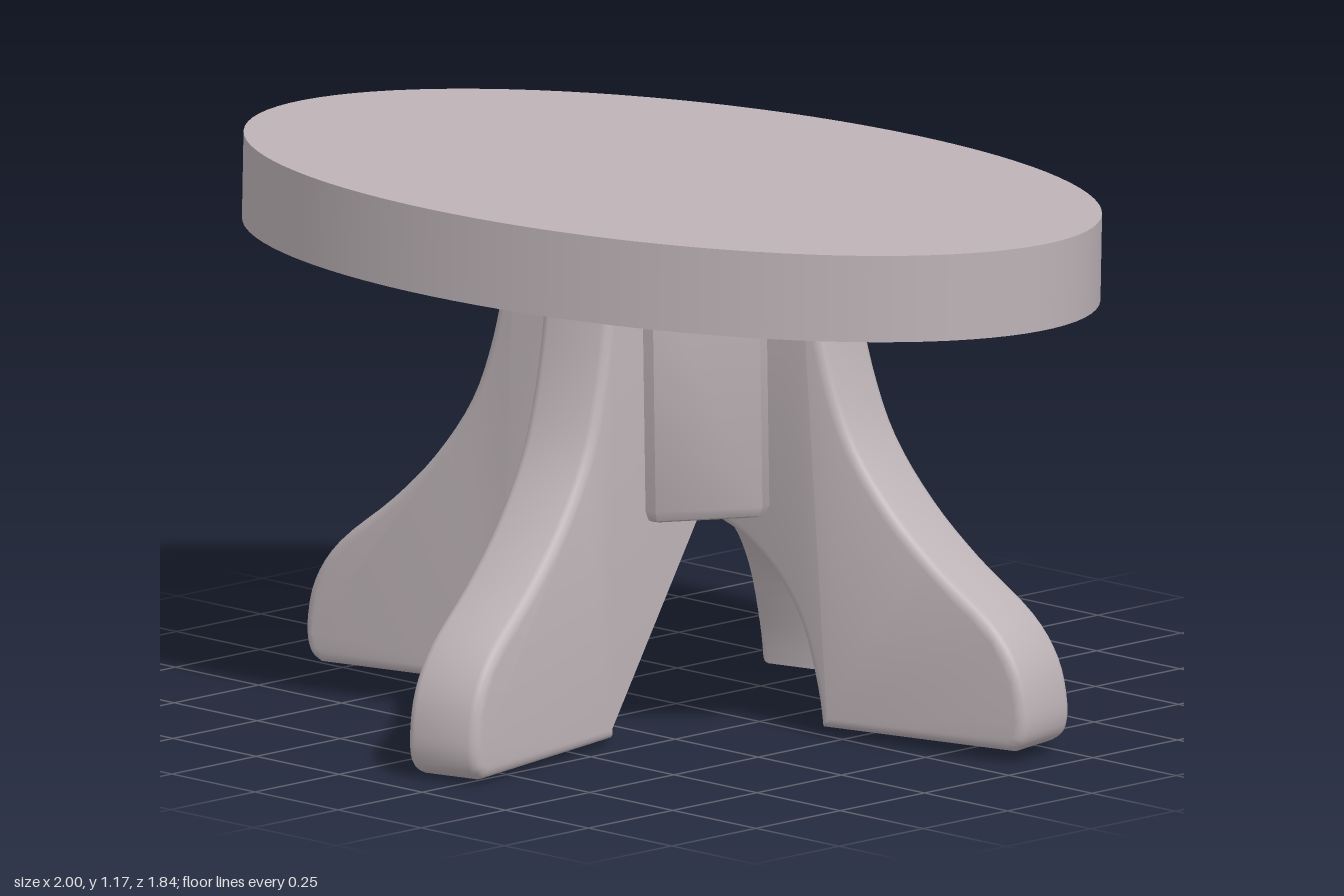
import * as THREE from 'three';
import { toCreasedNormals } from 'three/addons/utils/BufferGeometryUtils.js';

const YAW = 0.192;
const LEG_WIDTH = 0.178;
const BEVEL = 0.022;

const spline = (pts, n) =>
  new THREE.SplineCurve(pts.map(([x, y]) => new THREE.Vector2(x, y))).getPoints(n);

// Two opposite legs joined by an arch, as one bevelled board
function trestleGeometry() {
  const outer = spline([[0.388, 1.0], [0.398, 0.93], [0.435, 0.77], [0.49, 0.63], [0.585, 0.5], [0.7, 0.39],
    [0.835, 0.285], [0.9, 0.195], [0.922, 0.1], [0.914, 0.04], [0.885, 0.016]], 40);
  const arch = spline([[0.398, 0.016], [0.386, 0.1], [0.35, 0.23], [0.29, 0.33], [0.2, 0.41],
    [0.1, 0.45], [0, 0.46]], 24);
  const half = [...outer, ...arch];
  const mirrored = half.slice(0, -1).reverse().map((p) => new THREE.Vector2(-p.x, p.y));
  const geo = new THREE.ExtrudeGeometry(new THREE.Shape([...half, ...mirrored]), {
    depth: LEG_WIDTH - 2 * BEVEL,
    bevelThickness: BEVEL,
    bevelSize: BEVEL,
    bevelOffset: -BEVEL,
    bevelSegments: 3,
  });
  geo.translate(0, 0, -LEG_WIDTH / 2 + BEVEL);
  return toCreasedNormals(geo, 0.7);
}

export function createModel() {
  const model = new THREE.Group();
  model.name = 'pedestalTable';
  const wood = new THREE.MeshStandardMaterial({ color: 0xbdb3b7 });
  wood.name = 'paleGreyWood';

  const add = (parent, name, geo) => {
    const mesh = new THREE.Mesh(geo, wood);
    mesh.name = name;
    parent.add(mesh);
    return mesh;
  };

  // Oval top, leaning very slightly
  const topGeo = new THREE.CylinderGeometry(1, 1, 0.187, 96);
  topGeo.scale(1.011, 1, 0.63);
  const top = add(model, 'tableTop', topGeo);
  top.position.set(0, 1.061, 0.013);
  top.rotation.set(-0.008, YAW, -0.0175, 'XZY');

  // Base: two crossed trestles around an eight-sided hub
  const base = new THREE.Group();
  base.name = 'base';
  base.position.set(0.035, 0, 0);
  base.rotation.set(0.007, YAW, 0.012, 'XZY');
  model.add(base);

  const legs = trestleGeometry();
  add(base, 'sideLegs', legs);
  add(base, 'frontAndBackLegs', legs).rotation.y = Math.PI / 2;

  // Hub profile with a small rounded lower edge
  const hubProfile = [[0, 0.458], [0.27, 0.458], [0.288, 0.464], [0.3, 0.485], [0.3, 1.0]]
    .map(([r, y]) => new THREE.Vector2(r, y));
  const hubGeo = toCreasedNormals(new THREE.LatheGeometry(hubProfile, 8, Math.PI / 8), 0.6);
  add(base, 'hub', hubGeo);

  return model;
}
